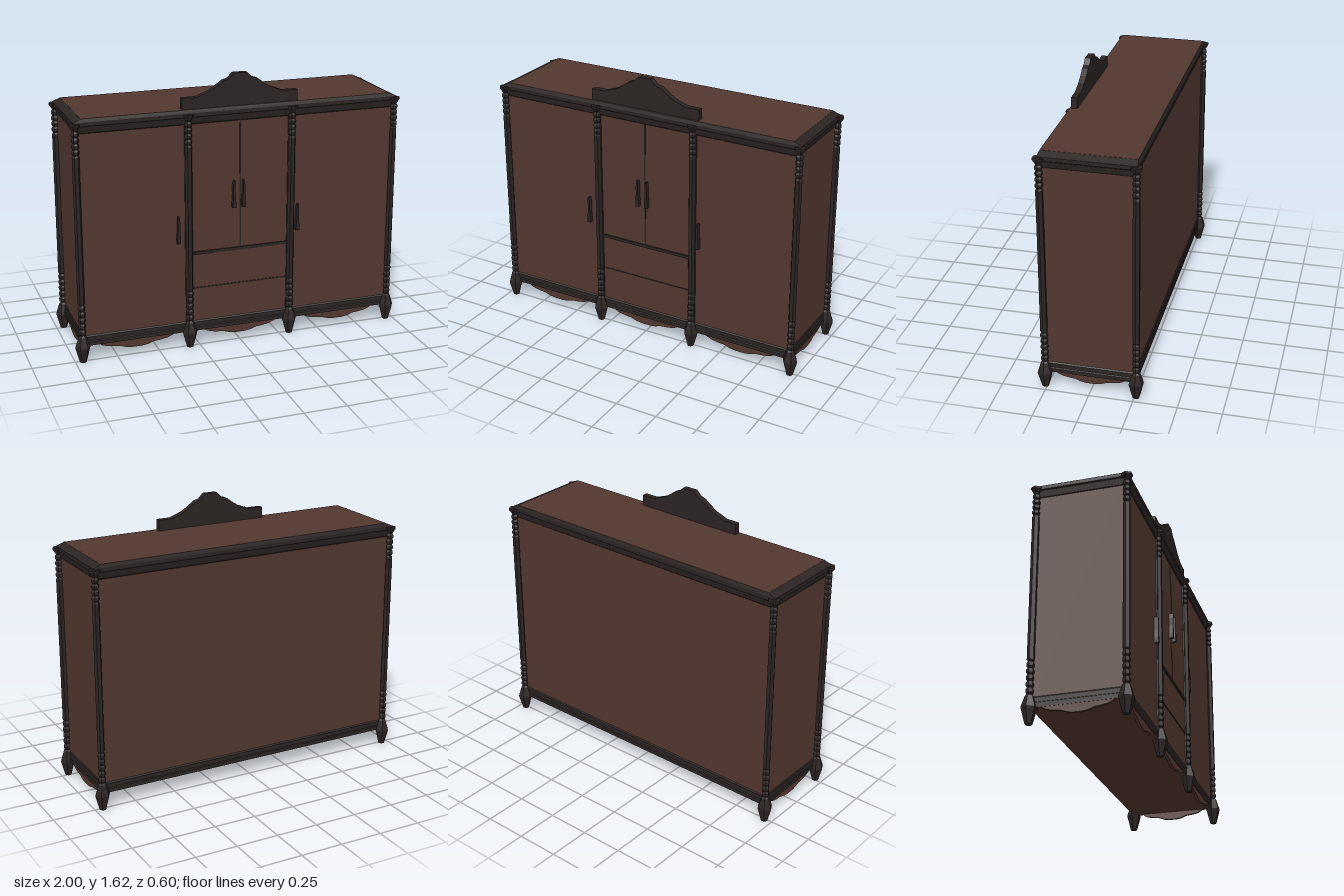
import * as THREE from 'three';

const brown = new THREE.MeshStandardMaterial({ color: 0x52372f });
brown.name = 'brown wood';
const dark = new THREE.MeshStandardMaterial({ color: 0x2b2423 });
dark.name = 'dark wood';

const HX = 0.945, HZ = 0.25; // half width and depth of the carcass

export function createModel() {
  const model = new THREE.Group();
  model.name = 'wardrobe';

  const add = (name, geo, mat, x = 0, y = 0, z = 0) => {
    const mesh = new THREE.Mesh(geo, mat);
    mesh.name = name;
    mesh.position.set(x, y, z);
    model.add(mesh);
    return mesh;
  };
  const box = (name, mat, w, h, d, x, y, z) =>
    add(name, new THREE.BoxGeometry(w, h, d), mat, x, y, z);

  // faceted copy of a geometry
  const facet = (geo) => {
    const g = geo.toNonIndexed();
    g.computeVertexNormals();
    return g;
  };

  // rectangular moulding running round the carcass, rows are [halfX, halfZ, y]
  const moulding = (rows) => {
    const pos = [], index = [];
    for (const [hx, hz, y] of rows)
      pos.push(-hx, y, hz, hx, y, hz, hx, y, -hz, -hx, y, -hz);
    for (let r = 0; r < rows.length - 1; r++)
      for (let i = 0; i < 4; i++) {
        const a = r * 4 + i, b = r * 4 + (i + 1) % 4;
        index.push(a, b, b + 4, a, b + 4, a + 4);
      }
    const g = new THREE.BufferGeometry();
    g.setAttribute('position', new THREE.Float32BufferAttribute(pos, 3));
    g.setIndex(index);
    return facet(g);
  };

  // symmetric flat board cut from half an outline, centred on its thickness
  const board = (half, depth) => {
    const left = half.map(([x, y]) => new THREE.Vector2(-x, y)).reverse();
    const right = half.map(([x, y]) => new THREE.Vector2(x, y));
    const g = new THREE.ExtrudeGeometry(new THREE.Shape([...right, ...left]),
      { depth, bevelEnabled: false });
    return g.translate(0, 0, -depth / 2);
  };

  // carcass
  box('carcass', brown, HX * 2, 1.3, HZ * 2, 0, 0.75, 0);
  box('bottomPanel', brown, 1.9, 0.006, 0.515, 0, 0.096, 0);
  box('topPanel', brown, 1.84, 0.006, 0.522, 0, 1.429, 0);

  // base and cornice
  add('baseMoulding', moulding([
    [0.955, 0.261, 0.095], [0.955, 0.261, 0.118],
    [0.95, 0.256, 0.122], [0.95, 0.256, 0.148], [HX, HZ, 0.155]]), dark);
  add('cornice', moulding([
    [HX, HZ, 1.345], [0.95, 0.256, 1.35], [0.958, 0.264, 1.385],
    [0.965, 0.268, 1.39], [0.965, 0.268, 1.412], [0.92, 0.261, 1.431]]), dark);

  // crest board above the middle doors
  add('crest', board([[0.345, 1.425], [0.345, 1.496], [0.26, 1.496], [0.185, 1.523],
    [0.145, 1.548], [0.105, 1.577], [0.07, 1.588], [0.04, 1.618]], 0.035),
  dark, 0, 0, 0.235);

  // six-sided turned posts with tapered feet
  const profile = [[0, 0], [0.02, 0], [0.044, 0.09], [0.042, 0.1], [0.024, 0.155]];
  const beads = (y0, y1, n) => {
    const step = (y1 - y0) / n;
    for (let i = 0; i < n; i++) {
      const y = y0 + i * step;
      profile.push([0.015, y], [0.022, y + step * 0.3], [0.022, y + step * 0.7]);
    }
    profile.push([0.015, y1]);
  };
  beads(0.165, 0.35, 5);
  profile.push([0.021, 0.36], [0.021, 1.22]);
  beads(1.23, 1.365, 4);
  profile.push([0.02, 1.375], [0.034, 1.396], [0.034, 1.405], [0, 1.405]);
  const postGeo = facet(new THREE.LatheGeometry(
    profile.map(([r, y]) => new THREE.Vector2(r, y)), 6).rotateY(Math.PI / 6));
  for (const x of [-0.955, -0.312, 0.312, 0.955]) {
    add('frontPost', postGeo, dark, x, 0, 0.26);
    if (Math.abs(x) > 0.5) add('backPost', postGeo, dark, x, 0, -0.26);
  }

  // scalloped aprons under the front and sides
  const apron = (w) => board([[w, 0.1], [w * 0.93, 0.085], [w * 0.8, 0.073],
    [w * 0.6, 0.066], [w * 0.45, 0.063], [w * 0.28, 0.05], [w * 0.12, 0.045]], 0.016);
  for (const x of [-0.632, 0, 0.632]) add('frontApron', apron(0.228), brown, x, 0, 0.245);
  for (const s of [-1, 1])
    add('sideApron', apron(0.2), brown, s * 0.94, 0, 0).rotation.y = Math.PI / 2;

  // stiles, door seam and drawer lines
  for (const s of [-1, 1])
    box('stile', dark, 0.044, 1.2, 0.008, s * 0.312, 0.75, HZ + 0.002);
  box('doorSeam', dark, 0.008, 0.77, 0.006, 0, 0.965, HZ);
  box('drawerRail', dark, 0.6, 0.018, 0.009, 0, 0.577, HZ + 0.003);
  box('drawerLine', dark, 0.6, 0.007, 0.006, 0, 0.36, HZ);

  // bowed door handles
  const handleGeo = new THREE.ExtrudeGeometry(new THREE.Shape([
    [-0.01, -0.08], [0.01, -0.08], [0.01, -0.055], [0.006, 0], [0.007, 0.05],
    [0.002, 0.082], [-0.006, 0.08], [-0.006, 0], [-0.01, -0.05],
  ].map(([x, y]) => new THREE.Vector2(x, y))), { depth: 0.025, bevelEnabled: false });
  for (const [x, y, flip] of [[-0.042, 0.913, 1], [0.016, 0.913, 0],
    [-0.376, 0.732, 0], [0.352, 0.732, 1]]) {
    const handle = add('handle', handleGeo, dark, x, y, HZ + (flip ? 0.025 : 0));
    if (flip) handle.rotation.y = Math.PI;
  }

  return model;
}
